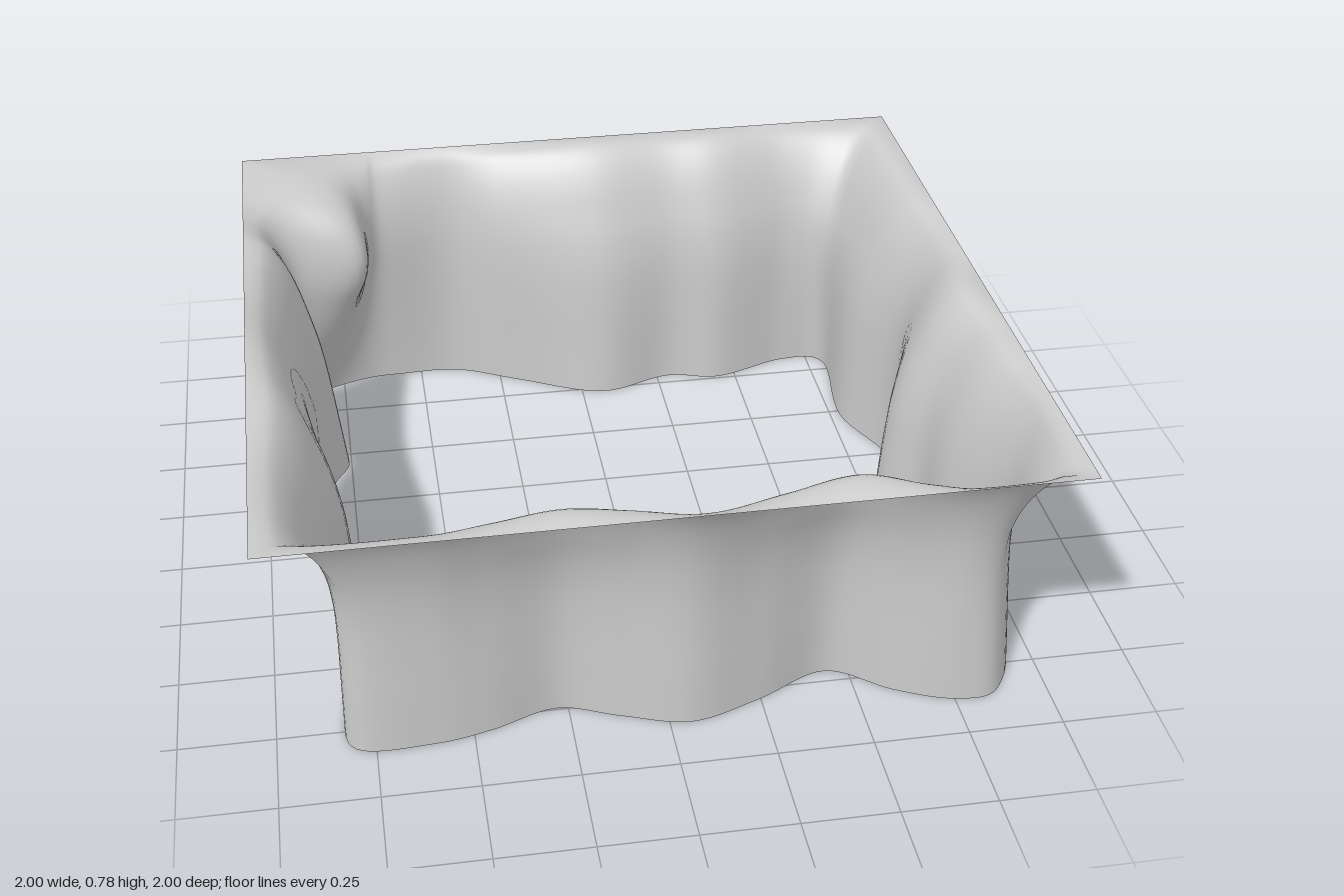
import * as THREE from 'three';

// Wall keys per side: [waist x, waist z, foot x, foot z]; the foot defaults to the waist.
// The first key of each side belongs to a corner of the square rim.
const SIDES = [
  { corner: [1, 1], keys: [ // front
    [0.84, 0.82, 0.87, 0.85], [0.75, 0.865, 0.75, 0.87], [0.6, 0.81], [0.44, 0.735, 0.44, 0.71],
    [0.25, 0.79], [0.06, 0.85], [-0.12, 0.8], [-0.28, 0.765, -0.28, 0.745], [-0.45, 0.8], [-0.6, 0.83]] },
  { corner: [-1, 1], keys: [ // side at -x
    [-0.79, 0.81, -0.8, 0.82], [-0.82, 0.66], [-0.785, 0.36, -0.75, 0.36], [-0.82, 0.16], [-0.85, -0.08],
    [-0.83, -0.33, -0.81, -0.33], [-0.82, -0.48, -0.76, -0.48], [-0.86, -0.63, -0.93, -0.69]] },
  { corner: [-1, -1], keys: [ // back, starting at the pinched corner
    [-0.66, -0.66, -0.86, -0.84], [-0.63, -0.83, -0.69, -0.92], [-0.55, -0.88, -0.55, -0.935],
    [-0.38, -0.91, -0.38, -0.93], [-0.2, -0.83, -0.19, -0.84], [0.06, -0.76, 0.06, -0.73],
    [0.28, -0.79], [0.45, -0.775, 0.45, -0.76], [0.67, -0.83]] },
  { corner: [1, -1], keys: [ // side at +x
    [0.77, -0.75, 0.8, -0.79], [0.8, -0.48, 0.78, -0.48], [0.86, -0.2, 0.87, -0.2],
    [0.77, 0.08, 0.73, 0.08], [0.81, 0.25], [0.83, 0.42, 0.82, 0.42], [0.9, 0.66, 0.94, 0.66]] },
];

// Profile from rim to foot: [inward share, height, inward share at the pinched corner]
const PROFILE = [
  [0, 0.767, 0], [0.14, 0.757, 0.2], [0.3, 0.74, 0.45], [0.47, 0.705, 0.7], [0.64, 0.655, 0.89],
  [0.79, 0.59, 0.98], [0.9, 0.51, 1], [0.97, 0.41, 1], [1, 0.29, 1], [1, 0.15, 1], [1, 0, 1],
];
const FLARE_TOP = 0.54; // height where the wall starts to move towards the foot outline
const STEPS = 8;        // columns between two keys
const ROWS = 36;        // rows from rim to foot

export function createModel() {
  // Gather the three outlines
  const rim = [], waist = [], foot = [];
  SIDES.forEach(({ corner, keys }, s) => keys.forEach(([x, z, fx = x, fz = z], i) => {
    const edge = s % 2 ? [corner[0], z] : [x, corner[1]];
    const [rx, rz] = i === 0 ? corner : edge;
    rim.push(new THREE.Vector3(rx, 0, rz));
    waist.push(new THREE.Vector3(x, 0, z));
    foot.push(new THREE.Vector3(fx, 0, fz));
  }));
  const closed = (points) => new THREE.CatmullRomCurve3(points, true, 'catmullrom', 0.5);
  const waistCurve = closed(waist), footCurve = closed(foot);
  const columns = rim.length * STEPS;

  // Loft every column from the square rim to the wavy foot
  const positions = [], index = [];
  for (let c = 0; c < columns; c++) {
    const k = Math.floor(c / STEPS);
    const r = rim[k].clone().lerp(rim[(k + 1) % rim.length], (c % STEPS) / STEPS);
    const w = waistCurve.getPoint(c / columns);
    const f = footCurve.getPoint(c / columns);
    // The pinched corner forms a flat ledge; deep folds swell slightly above the rim
    const pinch = Math.exp(-((r.x + 1) ** 2 + (r.z + 1) ** 2) / 0.12);
    const depth = 1 - Math.max(Math.abs(w.x), Math.abs(w.z));
    const swell = Math.max(0, depth - 0.15) * 0.4 * (1 - 0.45 * pinch);
    const profile = new THREE.CatmullRomCurve3(PROFILE.map(([inward, y, ledge]) => {
      const share = THREE.MathUtils.lerp(inward, ledge, pinch);
      const p = r.clone().lerp(w, share).lerp(f, Math.max(0, 1 - y / FLARE_TOP));
      p.y = y + swell * Math.sin(Math.PI * Math.min(1, inward / 0.8));
      return p;
    }));
    for (let j = 0; j <= ROWS; j++) positions.push(...profile.getPoint(j / ROWS).toArray());
  }
  for (let c = 0; c < columns; c++) {
    const next = (c + 1) % columns;
    for (let j = 0; j < ROWS; j++) {
      const a = c * (ROWS + 1) + j, b = next * (ROWS + 1) + j;
      index.push(a, b, a + 1, b, b + 1, a + 1);
    }
  }
  const geometry = new THREE.BufferGeometry();
  geometry.setAttribute('position', new THREE.Float32BufferAttribute(positions, 3));
  geometry.setIndex(index);
  geometry.computeVertexNormals();

  const material = new THREE.MeshStandardMaterial({ color: 0xcccccc, side: THREE.DoubleSide });
  const skirt = new THREE.Mesh(geometry, material);
  skirt.name = 'drapedSkirt';
  const group = new THREE.Group();
  group.name = 'squareDrape';
  group.add(skirt);
  return group;
}
